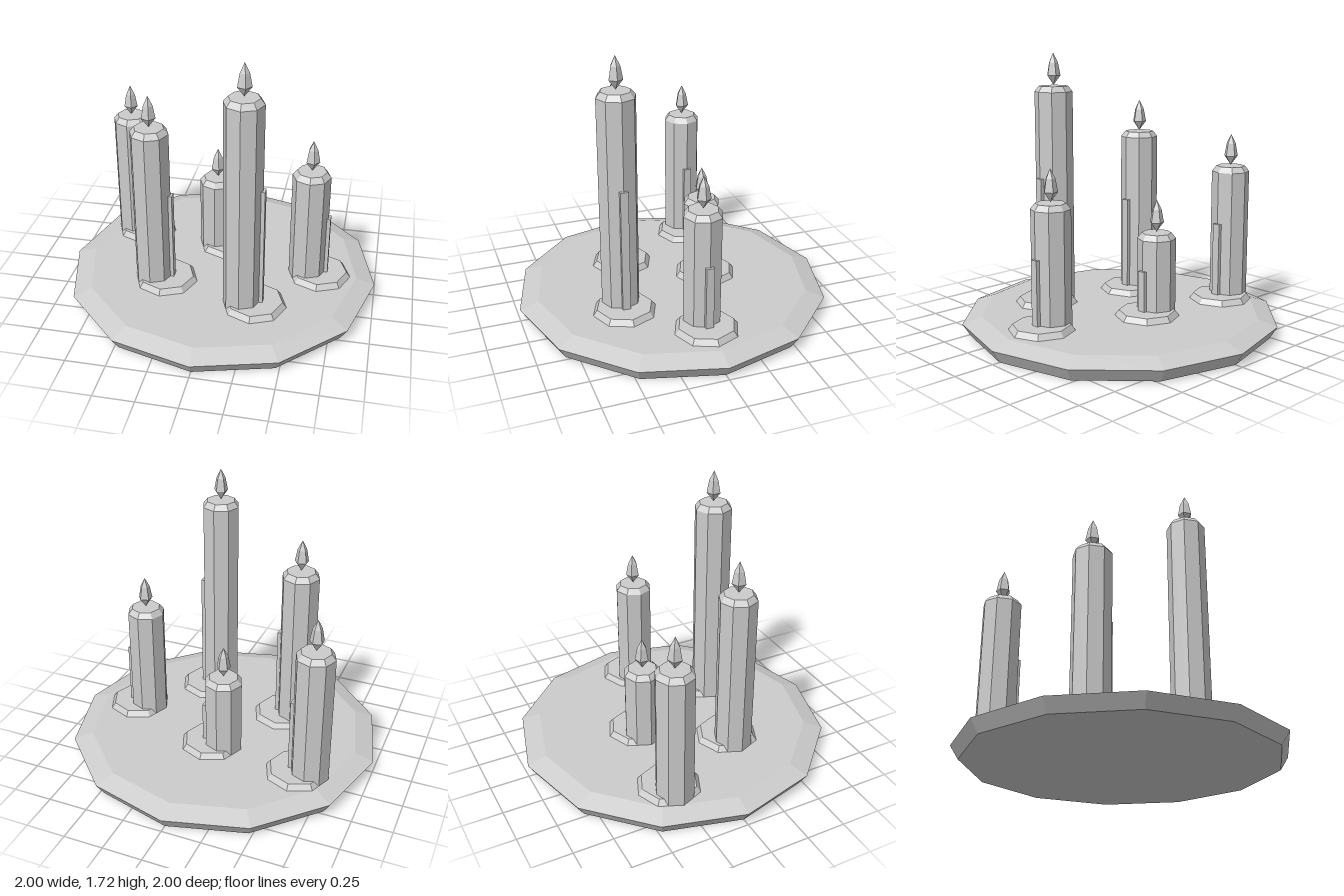
import * as THREE from 'three';

const gray = new THREE.MeshStandardMaterial({ color: 0xcccccc, flatShading: true });
gray.name = 'plain gray';

// Faceted turned part from a bottom-to-top [radius, y] profile
function turned(name, profile, sides, start = 0) {
  const points = profile.map(([r, y]) => new THREE.Vector2(r, y));
  const mesh = new THREE.Mesh(new THREE.LatheGeometry(points, sides, start), gray);
  mesh.name = name;
  return mesh;
}

// One candle: wax pool, shaft, drip and flame; top is the height of the flame's base
function candle(x, z, top) {
  const group = new THREE.Group();
  group.name = 'candle';
  group.position.set(x, 0, z);

  // Wax pool spreads off-centre, toward the drip
  const pool = turned('waxPool', [[0, 0.11], [0.2, 0.11], [0.2, 0.12], [0.175, 0.155], [0, 0.155]], 8);
  pool.position.x = 0.08;

  const rim = top - 0.005;
  const shaft = turned('waxShaft', [[0, 0.12], [0.12, 0.12], [0.12, rim - 0.035], [0.092, rim], [0, rim]], 8);

  const dripTop = 0.6 * top + 0.025;
  const drip = new THREE.Mesh(new THREE.BoxGeometry(0.05, dripTop - 0.13, 0.05), gray);
  drip.name = 'waxDrip';
  drip.position.set(0.108, (dripTop + 0.13) / 2, 0);

  // Five-sided teardrop flame with one corner toward +x
  const flame = turned('flame', [[0, 0], [0.045, 0.06], [0.03, 0.14], [0, 0.2]], 5, Math.PI / 2);
  flame.position.y = top;

  group.add(pool, shaft, drip, flame);
  return group;
}

export function createModel() {
  const model = new THREE.Group();
  model.name = 'candlePlate';

  // Twelve-sided plate with bevelled rim
  model.add(turned('plate', [[0, 0], [0.95, 0], [1, 0.08], [0.88, 0.12], [0, 0.12]], 12));

  // Candles: x, z, height of the flame's base
  const candles = [
    [-0.68, -0.32, 1.0],
    [-0.4, 0.24, 1.2],
    [-0.08, -0.24, 0.64],
    [0.2, 0.4, 1.52],
    [0.56, 0, 0.88],
  ];
  for (const [x, z, top] of candles) model.add(candle(x, z, top));
  return model;
}
